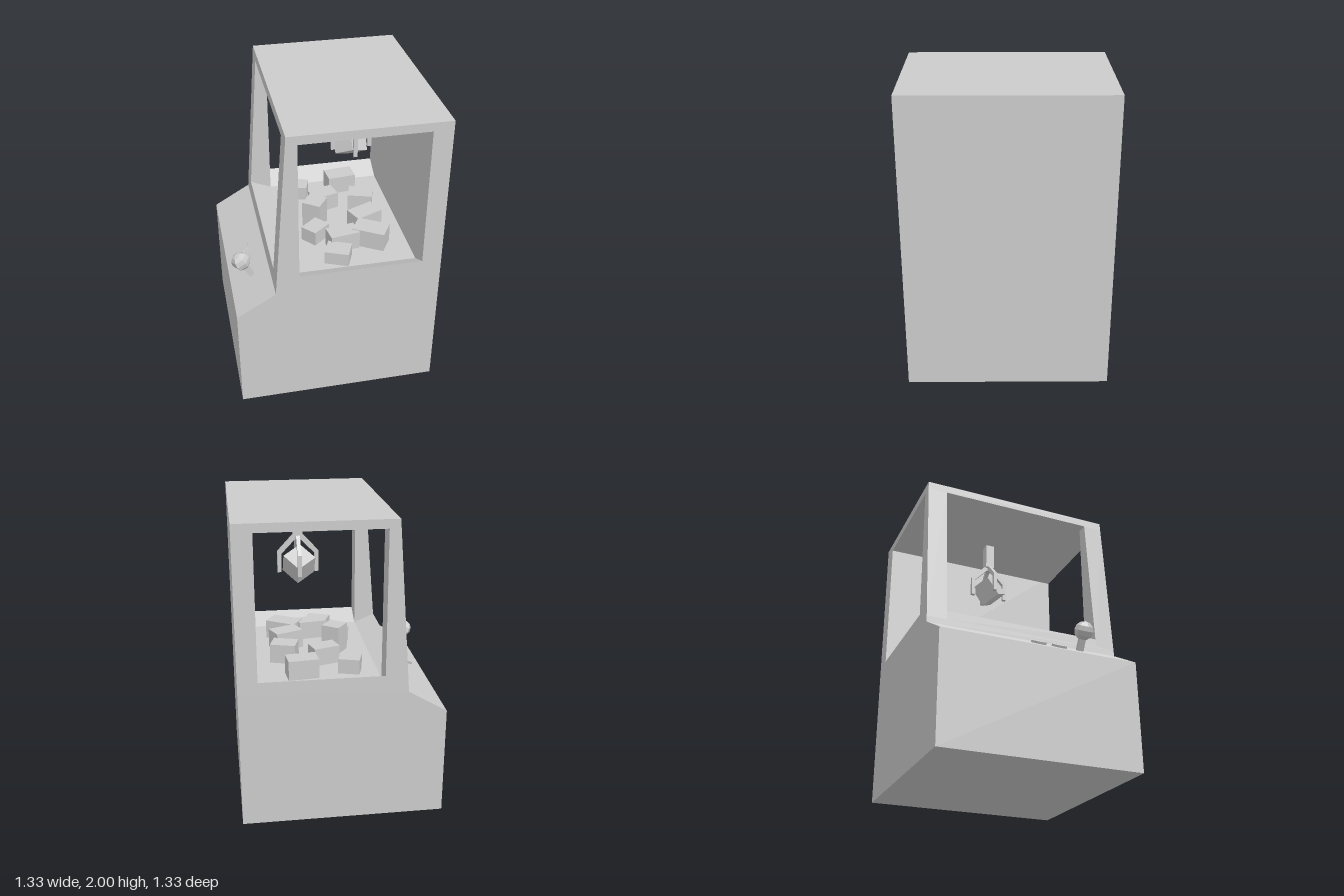
import * as THREE from 'three';

const grey = new THREE.MeshStandardMaterial({ color: 0xcccccc, flatShading: true });
const HALF = 0.667;   // half width and depth of the cabinet
const INNER = 0.533;  // half depth of the play area
const FLOOR = 0.93;

// x of the leaning window side at height y
const lean = (y) => -0.413 + (y - 0.885) * 0.0771;

export function createModel() {
  const model = new THREE.Group();
  model.name = 'clawMachine';

  const add = (name, geometry, parent = model) => {
    const mesh = new THREE.Mesh(geometry, grey);
    mesh.name = name;
    parent.add(mesh);
    return mesh;
  };
  const box = (name, w, h, d, x, y, z, parent = model) => {
    const mesh = add(name, new THREE.BoxGeometry(w, h, d), parent);
    mesh.position.set(x, y, z);
    return mesh;
  };
  // prism with an xy outline, running from z0 to z1
  const prism = (name, points, z0, z1, parent = model) => {
    const shape = new THREE.Shape(points.map(([x, y]) => new THREE.Vector2(x, y)));
    const geo = new THREE.ExtrudeGeometry(shape, { depth: z1 - z0, bevelEnabled: false });
    return add(name, geo.translate(0, 0, z0), parent);
  };

  // Cabinet: base with sloped console, back wall, roof
  prism('base', [[-HALF, 0], [HALF, 0], [HALF, FLOOR], [lean(FLOOR), FLOOR],
    [lean(0.885), 0.885], [-HALF, 0.735]], -HALF, HALF);
  box('backWall', HALF - 0.54, 2 - FLOOR, HALF * 2, (HALF + 0.54) / 2, (2 + FLOOR) / 2, 0);
  prism('roof', [[lean(1.943), 1.943], [0.54, 1.943], [0.54, 2], [lean(2), 2]], -HALF, HALF);

  // Corner posts and the sloping window sills
  for (const side of [1, -1]) {
    const z0 = side > 0 ? INNER : -HALF;
    prism('cornerPost', [[lean(FLOOR), FLOOR], [-0.26, FLOOR], [-0.26, 1.943], [lean(1.943), 1.943]],
      z0, z0 + HALF - INNER);
    const sill = prism('sideSill', side > 0
      ? [[-HALF, FLOOR], [-INNER, FLOOR], [-HALF, 1.005]]
      : [[INNER, FLOOR], [HALF, FLOOR], [HALF, 1.005]], -0.26, 0.54);
    sill.rotation.y = Math.PI / 2; // local z runs along x, local x along -z
  }
  prism('consoleSill', [[lean(FLOOR), FLOOR], [-0.26, FLOOR], [lean(0.99), 0.99]], -INNER, INNER);

  // Console controls, standing square to the slope
  const control = (name, x, z) => {
    const g = new THREE.Group();
    g.name = name;
    g.position.set(x, 0.735 + (x + HALF) * 0.59, z);
    g.rotation.z = 0.533;
    model.add(g);
    return g;
  };
  for (const z of [0.035, 0.18]) {
    const button = control('button', -0.548, z);
    add('buttonCap', new THREE.CylinderGeometry(0.054, 0.054, 0.03, 6), button);
  }
  const joystick = control('joystick', -0.525, 0.34);
  box('stick', 0.03, 0.13, 0.042, 0, 0.06, 0, joystick);
  add('knob', new THREE.SphereGeometry(0.063, 6, 6), joystick).position.y = 0.133;

  // Claw: shaft and four bent arms
  const claw = new THREE.Group();
  claw.name = 'claw';
  claw.position.set(0.217, 0, 0);
  model.add(claw);
  box('shaft', 0.064, 0.19, 0.064, 0, 1.85, 0, claw);
  for (let i = 0; i < 4; i++) {
    const arm = prism('arm', [[0.02, 1.73], [0.11, 1.635], [0.11, 1.51], [0.137, 1.51],
      [0.137, 1.65], [0.035, 1.76], [0, 1.76], [0, 1.73]], -0.013, 0.013, claw);
    arm.rotation.y = i * Math.PI / 2;
  }
  const heldBox = box('heldBox', 0.15, 0.15, 0.15, 0.21, 1.56, 0);
  heldBox.rotation.set(-0.62, 0.67, 0);

  // Prize boxes on the floor: width, depth, top height, x, z, turn
  const prizes = [
    [0.13, 0.13, 1.12, -0.03, 0.0, -0.62],
    [0.22, 0.14, 1.06, 0.295, 0.3, -0.55],
    [0.2, 0.12, 1.055, 0.1, 0.3, 0.15],
    [0.16, 0.13, 1.02, 0.04, 0.44, -0.4],
    [0.2, 0.13, 1.06, 0.3, 0.1, 0.4],
    [0.2, 0.13, 1.06, 0.24, -0.42, 0.1],
    [0.18, 0.12, 1.05, 0.07, -0.2, 0.3],
    [0.15, 0.12, 1.03, -0.06, 0.17, 0.7],
    [0.14, 0.12, 1.03, -0.08, -0.38, -0.3],
    [0.17, 0.13, 1.06, 0.33, -0.14, -0.3],
  ];
  for (const [w, d, top, x, z, turn] of prizes) {
    box('prizeBox', w, top - FLOOR + 0.01, d, x, (top + FLOOR - 0.01) / 2, z).rotation.y = turn;
  }
  return model;
}
